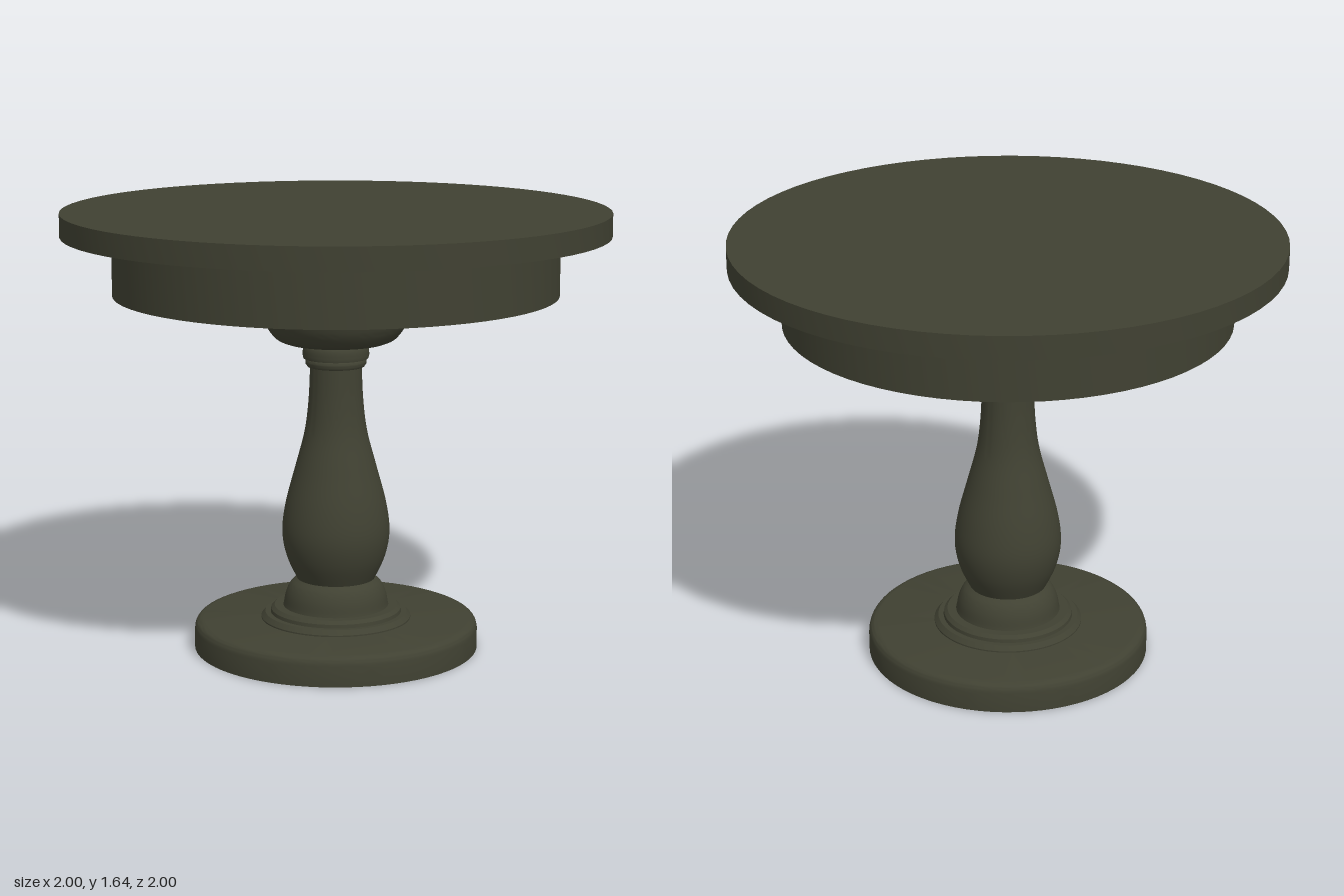
import * as THREE from 'three';
import { toCreasedNormals } from 'three/addons/utils/BufferGeometryUtils.js';

const SEGMENTS = 72;
const material = new THREE.MeshStandardMaterial({ color: 0x404132 });

// Smooth run of profile points through a few [radius, height] controls
function curve(points, divisions) {
  const spline = new THREE.SplineCurve(points.map(([r, y]) => new THREE.Vector2(r, y)));
  return spline.getPoints(divisions).map((p) => [p.x, p.y]);
}

// Turned part; the profile runs upward along its outer side
function turned(name, profile) {
  const points = profile.map(([r, y]) => new THREE.Vector2(r, y));
  const geometry = toCreasedNormals(new THREE.LatheGeometry(points, SEGMENTS), 0.6);
  const mesh = new THREE.Mesh(geometry, material);
  mesh.name = name;
  return mesh;
}

// Plain disc or cylinder
function disc(name, radius, bottom, top) {
  return turned(name, [[0, bottom], [radius, bottom], [radius, top], [0, top]]);
}

export function createModel() {
  const table = new THREE.Group();
  table.name = 'pedestalTable';

  // Round foot with a softened upper edge
  table.add(turned('foot', [
    [0, 0], [0.53, 0],
    ...curve([[0.53, 0.07], [0.526, 0.09], [0.515, 0.104], [0.495, 0.11]], 9),
    [0, 0.11],
  ]));

  // Stepped mouldings and collar above the foot
  table.add(turned('footMoulding', [
    [0.28, 0.105], [0.28, 0.115], [0.265, 0.132], [0.245, 0.132],
    [0.243, 0.145], [0.23, 0.157], [0.197, 0.157],
    ...curve([[0.195, 0.165], [0.187, 0.205], [0.17, 0.24], [0.145, 0.262]], 12),
    [0, 0.262],
  ]));

  // Vase-shaped column
  table.add(turned('column', [
    ...curve([
      [0.142, 0.255], [0.183, 0.345], [0.2, 0.44], [0.187, 0.55], [0.15, 0.69],
      [0.116, 0.82], [0.101, 0.94], [0.095, 1.07],
    ], 40),
  ]));

  // Neck rings
  table.add(turned('neckRings', [
    [0, 1.065], [0.105, 1.065],
    ...curve([[0.112, 1.075], [0.112, 1.087], [0.105, 1.096]], 5),
    [0.12, 1.096],
    ...curve([[0.123, 1.11], [0.12, 1.135], [0.112, 1.148]], 6),
    [0.112, 1.165],
  ]));

  // Bowl-shaped capital and its flange
  table.add(turned('capital', [
    [0, 1.155],
    ...curve([[0.19, 1.157], [0.222, 1.172], [0.252, 1.21], [0.268, 1.25], [0.28, 1.295]], 16),
  ]));
  table.add(disc('capitalFlange', 0.33, 1.293, 1.338));

  // Hub, four spokes and the apron ring under the top
  table.add(disc('hub', 0.37, 1.336, 1.556));
  for (let i = 0; i < 4; i++) {
    const spoke = new THREE.Mesh(new THREE.BoxGeometry(0.44, 0.216, 0.08), material);
    const angle = (i * Math.PI) / 2;
    spoke.position.set(Math.cos(angle) * 0.56, 1.448, -Math.sin(angle) * 0.56);
    spoke.rotation.y = angle;
    spoke.name = 'spoke';
    table.add(spoke);
  }
  table.add(turned('apron', [
    [0.76, 1.336], [0.815, 1.336], [0.815, 1.55], [0.76, 1.55], [0.76, 1.336],
  ]));

  // Table top
  table.add(disc('tableTop', 1, 1.556, 1.64));

  return table;
}
